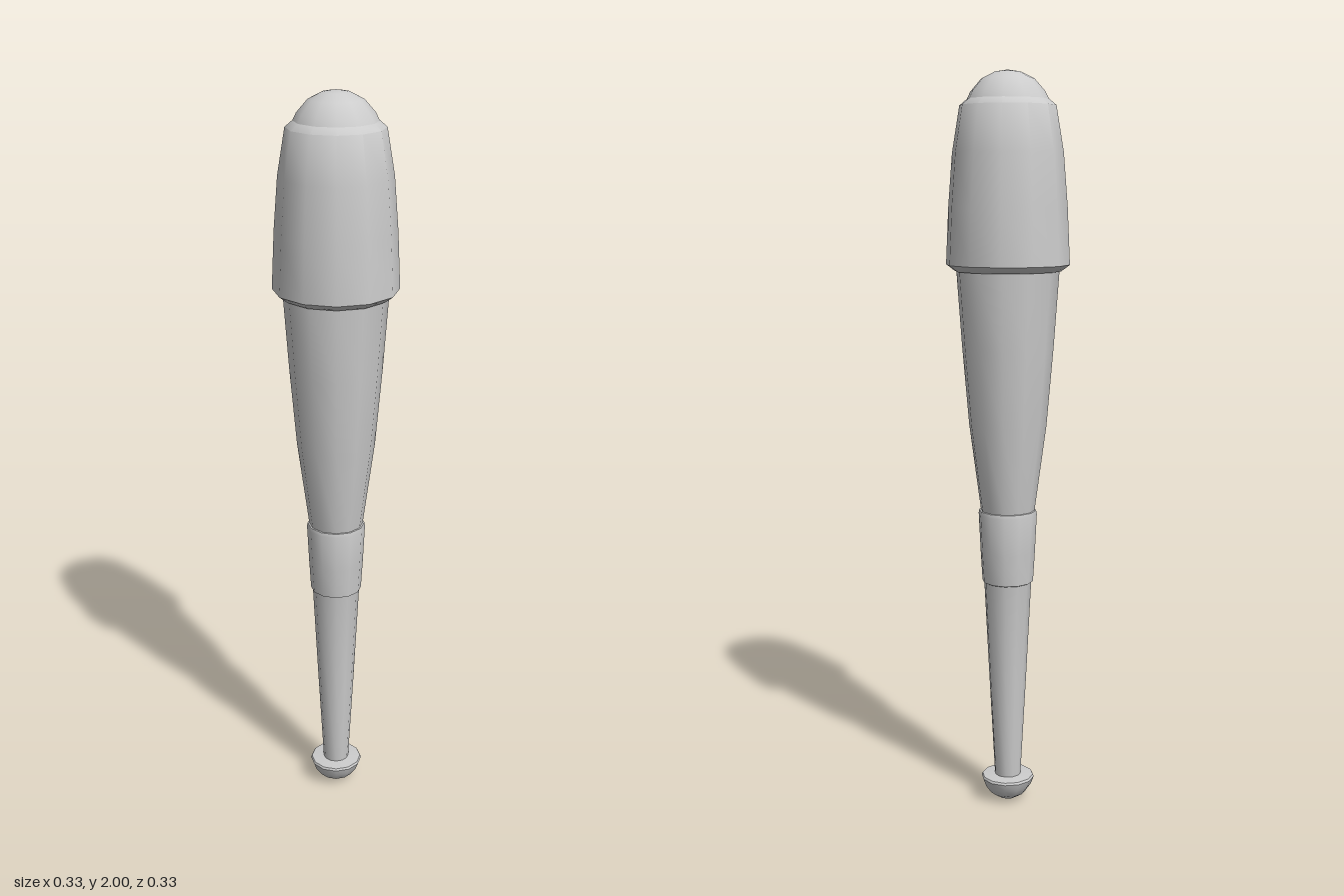
import * as THREE from 'three';
import { toCreasedNormals } from 'three/addons/utils/BufferGeometryUtils.js';

const SIDES = 12;
const material = new THREE.MeshStandardMaterial({ color: 0xcccccc });

// Turned part from [radius, height] pairs, listed bottom to top
function turned(name, profile) {
  const points = profile.map(([r, y]) => new THREE.Vector2(r, y));
  const geometry = toCreasedNormals(new THREE.LatheGeometry(points, SIDES), 0.75);
  const mesh = new THREE.Mesh(geometry, material);
  mesh.name = name;
  return mesh;
}

export function createModel() {
  const club = new THREE.Group();
  club.name = 'club';
  club.add(
    // Rounded pommel with a flat upper face
    turned('pommel', [[0, 0], [0.025, 0.004], [0.05, 0.02], [0.066, 0.043], [0.074, 0.064], [0.071, 0.07], [0.036, 0.073]]),
    // Slim tapering handle
    turned('handle', [[0.036, 0.07], [0.051, 0.35], [0.065, 0.632], [0.066, 0.64]]),
    // Raised collar between handle and barrel
    turned('collar', [[0.062, 0.632], [0.07, 0.636], [0.075, 0.72], [0.08, 0.825], [0.078, 0.835], [0.07, 0.836]]),
    // Widening barrel
    turned('barrel', [[0.073, 0.83], [0.105, 1.07], [0.123, 1.28], [0.138, 1.49]]),
    // Heavy sleeve around the head
    turned('headSleeve', [[0.13, 1.482], [0.142, 1.483], [0.165, 1.5], [0.158, 1.65], [0.147, 1.79], [0.127, 1.91], [0.108, 1.926]]),
    // Domed tip
    turned('tip', [[0.111, 1.918], [0.098, 1.945], [0.07, 1.977], [0.036, 1.994], [0, 2]])
  );
  return club;
}
